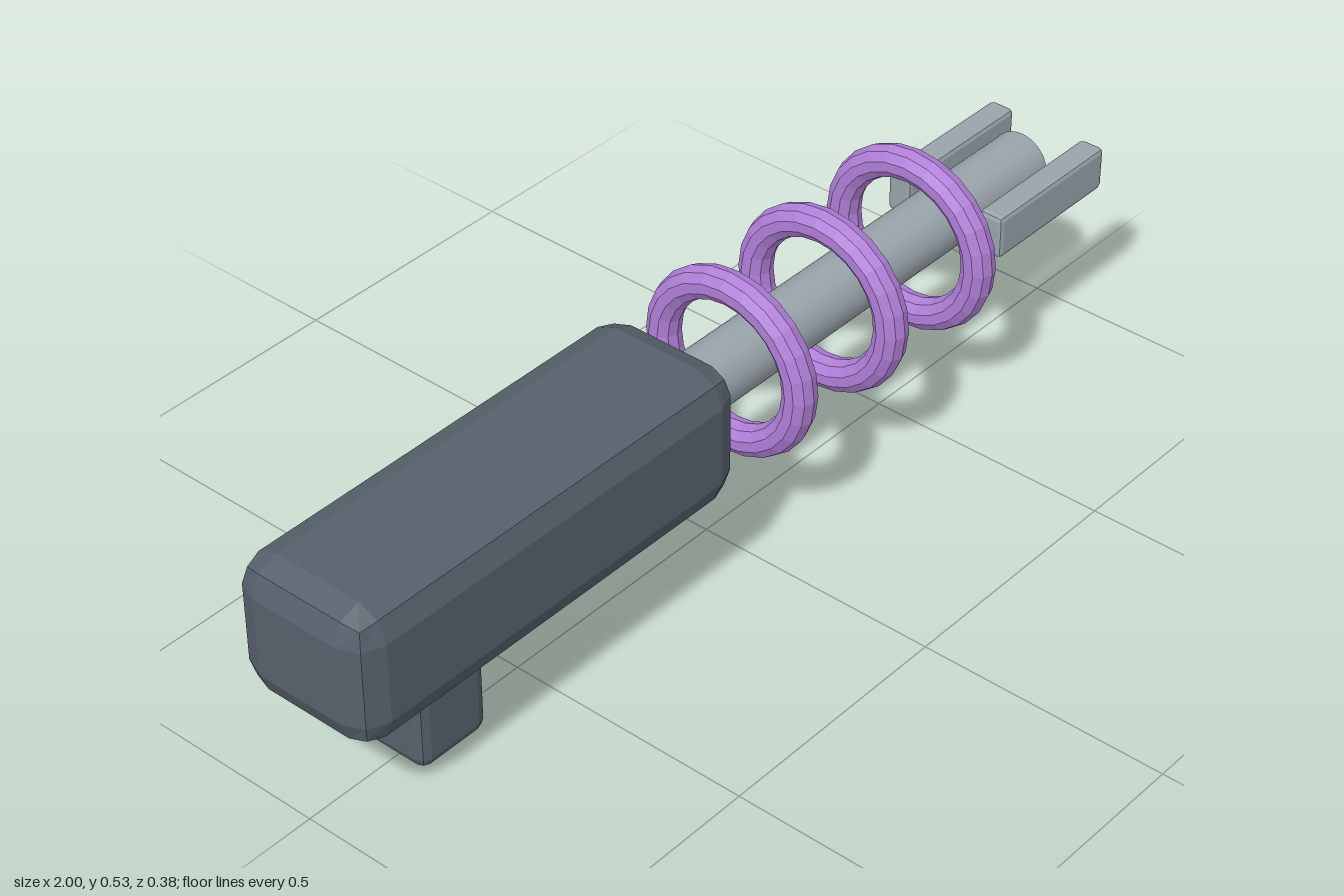
import * as THREE from 'three';
import { RoundedBoxGeometry } from 'three/addons/geometries/RoundedBoxGeometry.js';

const AXIS_Y = 0.339;

function material(name, color) {
  const m = new THREE.MeshStandardMaterial({ color });
  m.name = name;
  return m;
}

// Facet a geometry so that every face has its own normal
function faceted(geometry) {
  const g = geometry.index ? geometry.toNonIndexed() : geometry;
  g.computeVertexNormals();
  return g;
}

// Box with a two-step bevel on all edges
function bevelBox(w, h, d, r) {
  return faceted(new RoundedBoxGeometry(w, h, d, 1, r));
}

export function createModel() {
  const model = new THREE.Group();
  model.name = 'coilDevice';

  const slate = material('slate', 0x56606b);
  const steel = material('steel', 0x9aa3ab);
  const violet = material('violet', 0xb07fd8);

  const add = (name, geometry, mat, x, y, z) => {
    const mesh = new THREE.Mesh(geometry, mat);
    mesh.name = name;
    mesh.position.set(x, y, z);
    model.add(mesh);
    return mesh;
  };

  // Main housing and grip
  add('housing', bevelBox(0.925, 0.275, 0.3, 0.058), slate, -0.5375, AXIS_Y, 0);
  add('grip', bevelBox(0.157, 0.25, 0.136, 0.021), slate, -0.7225, 0.125, 0);

  // Glowing strip on the rear side of the housing
  add('sidePanel', new THREE.BoxGeometry(0.4, 0.09, 0.008), violet, -0.5375, 0.345, -0.151);

  // Barrel with a faceted tip
  const barrel = new THREE.CylinderGeometry(0.0625, 0.0625, 1.035, 32);
  barrel.rotateZ(-Math.PI / 2);
  add('barrel', barrel, steel, 0.3975, AXIS_Y, 0);
  add('emitterTip', faceted(new THREE.IcosahedronGeometry(0.054, 1)), violet, 0.885, AXIS_Y, 0);

  // Coil rings around the barrel
  const ring = new THREE.TorusGeometry(0.157, 0.032, 10, 24);
  ring.rotateY(Math.PI / 2);
  const ringGeometry = faceted(ring);
  [0.067, 0.322, 0.578].forEach((x, i) => {
    add('coilRing' + (i + 1), ringGeometry, violet, x, AXIS_Y, 0);
  });

  // Prongs on both sides of the muzzle
  const prong = bevelBox(0.322, 0.09, 0.053, 0.01);
  add('leftProng', prong, steel, 0.839, AXIS_Y, 0.106);
  add('rightProng', prong, steel, 0.839, AXIS_Y, -0.106);

  return model;
}
